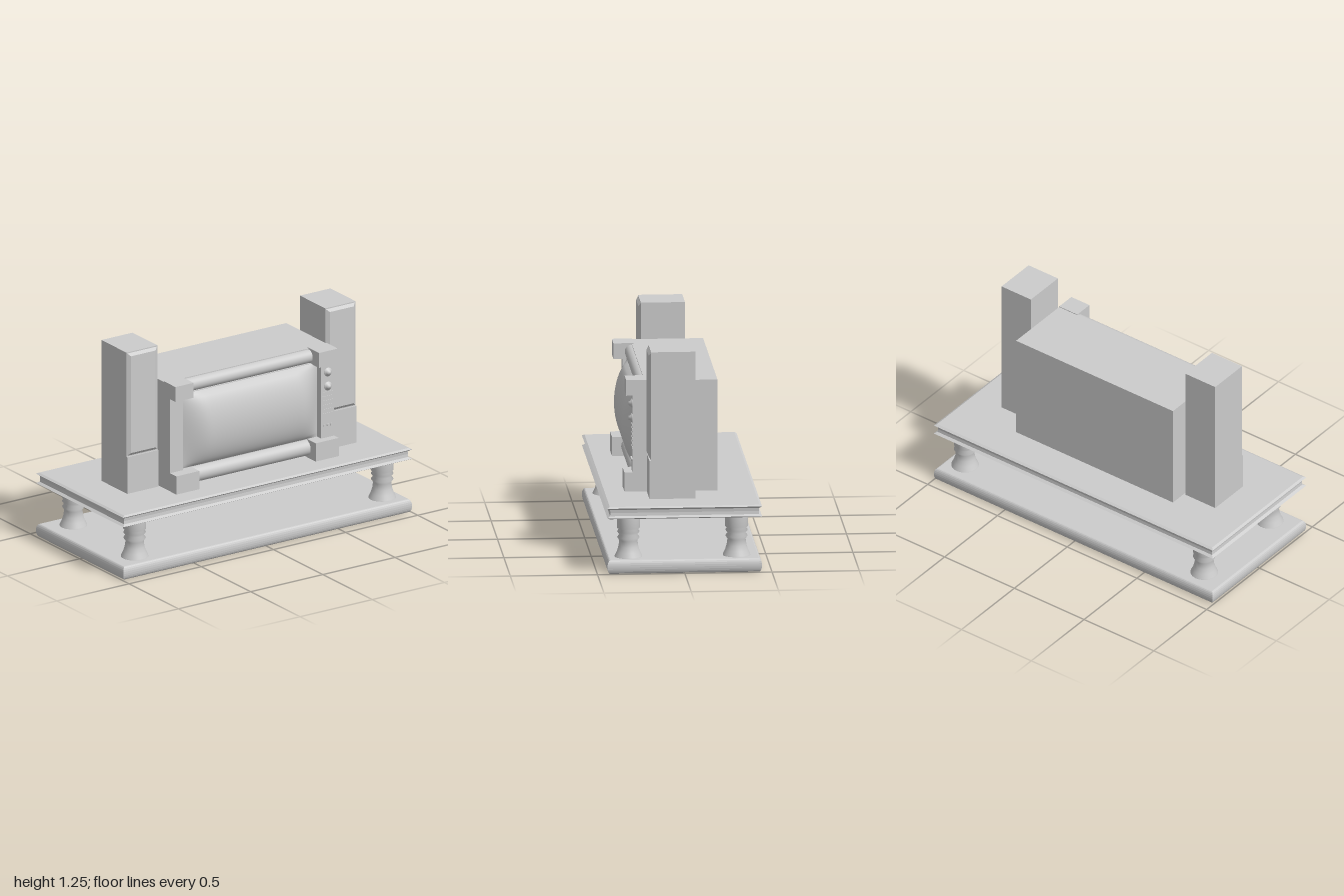
import * as THREE from 'three';

const grey = new THREE.MeshStandardMaterial({ color: 0xcccccc });
const greyDouble = new THREE.MeshStandardMaterial({ color: 0xcccccc, side: THREE.DoubleSide });

function add(parent, name, geometry, x = 0, y = 0, z = 0, material = grey) {
  const mesh = new THREE.Mesh(geometry, material);
  mesh.name = name;
  mesh.position.set(x, y, z);
  parent.add(mesh);
  return mesh;
}

// Box given by its limits on each axis
function block(parent, name, [x0, x1], [y0, y1], [z0, z1]) {
  return add(parent, name, new THREE.BoxGeometry(x1 - x0, y1 - y0, z1 - z0),
    (x0 + x1) / 2, (y0 + y1) / 2, (z0 + z1) / 2);
}

// Rectangular slab whose mitred edge follows a profile of [inset, y], bottom to top
function mouldedSlab(halfX, halfZ, profile) {
  const rings = profile.map(([inset, y]) =>
    [[-1, 1], [1, 1], [1, -1], [-1, -1]].map(([sx, sz]) => [sx * (halfX - inset), y, sz * (halfZ - inset)]));
  const pos = [];
  const quad = (a, b, c, d) => [a, b, c, a, c, d].forEach((p) => pos.push(...p));
  for (let i = 0; i < rings.length - 1; i++) {
    for (let k = 0; k < 4; k++) {
      const n = (k + 1) % 4;
      quad(rings[i][k], rings[i][n], rings[i + 1][n], rings[i + 1][k]);
    }
  }
  quad(...rings[rings.length - 1]);
  quad(...[...rings[0]].reverse());
  const g = new THREE.BufferGeometry();
  g.setAttribute('position', new THREE.Float32BufferAttribute(pos, 3));
  g.computeVertexNormals();
  return g;
}

function makeStand() {
  const stand = new THREE.Group();
  stand.name = 'stand';
  const bull = [];
  for (let i = 0; i <= 10; i++) {
    const a = (i / 10 - 0.5) * Math.PI;
    bull.push([0.018 * (1 - Math.cos(a)), 0.04 + 0.04 * Math.sin(a)]);
  }
  add(stand, 'lowerShelf', mouldedSlab(1, 0.443, bull));
  add(stand, 'upperShelf', mouldedSlab(1, 0.443, [
    [0.014, 0.32], [0, 0.327], [0.016, 0.337], [0.018, 0.355],
    [0.016, 0.373], [0, 0.384], [0.014, 0.392],
  ]));
  // Turned legs
  const profile = [
    [0.08, 0.075], [0.078, 0.085], [0.066, 0.11], [0.057, 0.14], [0.052, 0.175],
    [0.064, 0.193], [0.052, 0.21], [0.064, 0.226], [0.056, 0.24], [0.066, 0.25], [0.066, 0.325],
  ].map(([r, y]) => new THREE.Vector2(r, y));
  const leg = new THREE.LatheGeometry(profile, 32);
  for (const x of [-0.835, 0.88]) {
    for (const z of [0.315, -0.305]) add(stand, 'leg', leg, x, 0, z, greyDouble);
  }
  return stand;
}

// Tall speaker with a raised, chamfered front and a grille above a plain plinth
function makeSpeaker(name, x0, x1, z0, z1) {
  const speaker = new THREE.Group();
  speaker.name = name;
  block(speaker, 'cabinet', [x0, x1], [0.39, 1.25], [z0, z1 - 0.012]);
  block(speaker, 'lowerFront', [x0, x1], [0.39, 0.615], [z1 - 0.012, z1 - 0.003]);
  const panel = mouldedSlab((x1 - x0) / 2, 0.317, [[0.004, 0], [0.022, 0.014]]);
  panel.rotateX(Math.PI / 2);
  add(speaker, 'grille', panel, (x0 + x1) / 2, 0.932, z1 - 0.013);
  return speaker;
}

// Bulging picture tube: gentle curve vertically, flat middle with sloping ends horizontally
function screenGeometry(w, h, depth) {
  const g = new THREE.PlaneGeometry(w, h, 48, 32);
  const p = g.attributes.position;
  for (let i = 0; i < p.count; i++) {
    const u = Math.min(1, Math.abs(p.getX(i)) / (w / 2));
    const v = Math.min(1, Math.abs(p.getY(i)) / (h / 2));
    const ends = Math.min(1, (1 - u) / 0.35);
    p.setZ(i, depth * Math.sin(ends * Math.PI / 2) * Math.pow(1 - v * v, 0.6));
  }
  g.computeVertexNormals();
  return g;
}

function makeTelevision() {
  const tv = new THREE.Group();
  tv.name = 'television';
  const L = -0.545, R = 0.58;
  block(tv, 'body', [L, R], [0.39, 1.04], [-0.218, 0.2]);

  // Corner blocks
  block(tv, 'topLeftCorner', [0.45, R], [0.953, 1.044], [0.19, 0.305]);
  block(tv, 'topRightCorner', [L, -0.42], [0.953, 1.044], [0.19, 0.305]);
  block(tv, 'bottomLeftCorner', [0.42, R], [0.39, 0.503], [0.19, 0.315]);
  block(tv, 'bottomRightCorner', [L, -0.385], [0.39, 0.503], [0.19, 0.315]);

  // Rounded rails between the corners
  const rail = (name, x0, x1, y, r, z) => {
    const g = new THREE.CylinderGeometry(r, r, x1 - x0, 32).rotateZ(Math.PI / 2);
    add(tv, name, g, (x0 + x1) / 2, y, z);
  };
  rail('topRail', -0.42, 0.45, 0.995, 0.04, 0.2);
  rail('bottomRail', -0.385, 0.42, 0.45, 0.048, 0.215);

  // Side bar and control panel
  block(tv, 'sideBar', [L, -0.455], [0.503, 0.953], [0.19, 0.25]);
  block(tv, 'controlPanel', [0.49, R], [0.503, 0.953], [0.19, 0.268]);

  add(tv, 'screen', screenGeometry(0.945, 0.452, 0.085), 0.018, 0.729, 0.226, greyDouble);
  block(tv, 'screenSurround', [-0.455, 0.49], [0.5, 0.957], [0.19, 0.225]);

  // Knobs
  const knob = new THREE.LatheGeometry([
    [0.026, 0], [0.026, 0.006], [0.014, 0.012], [0.012, 0.022], [0, 0.024],
  ].map(([r, y]) => new THREE.Vector2(r, y)), 24).rotateX(Math.PI / 2);
  for (const y of [0.9, 0.815]) add(tv, 'knob', knob, 0.535, y, 0.266, greyDouble);

  // Vent slats and small buttons
  for (let i = 0; i < 6; i++) {
    const y = 0.64 + i * 0.026;
    block(tv, 'ventSlat', [0.498, 0.572], [y, y + 0.012], [0.266, 0.271]);
  }
  const button = new THREE.CylinderGeometry(0.008, 0.008, 0.01, 16).rotateX(Math.PI / 2);
  for (const x of [0.512, 0.535, 0.558]) add(tv, 'button', button, x, 0.578, 0.27);
  return tv;
}

export function createModel() {
  const model = new THREE.Group();
  model.name = 'televisionSet';
  model.add(
    makeStand(),
    makeTelevision(),
    makeSpeaker('rightSpeaker', -0.77, -0.555, -0.115, 0.15),
    makeSpeaker('leftSpeaker', 0.58, 0.79, -0.078, 0.19),
  );
  return model;
}
